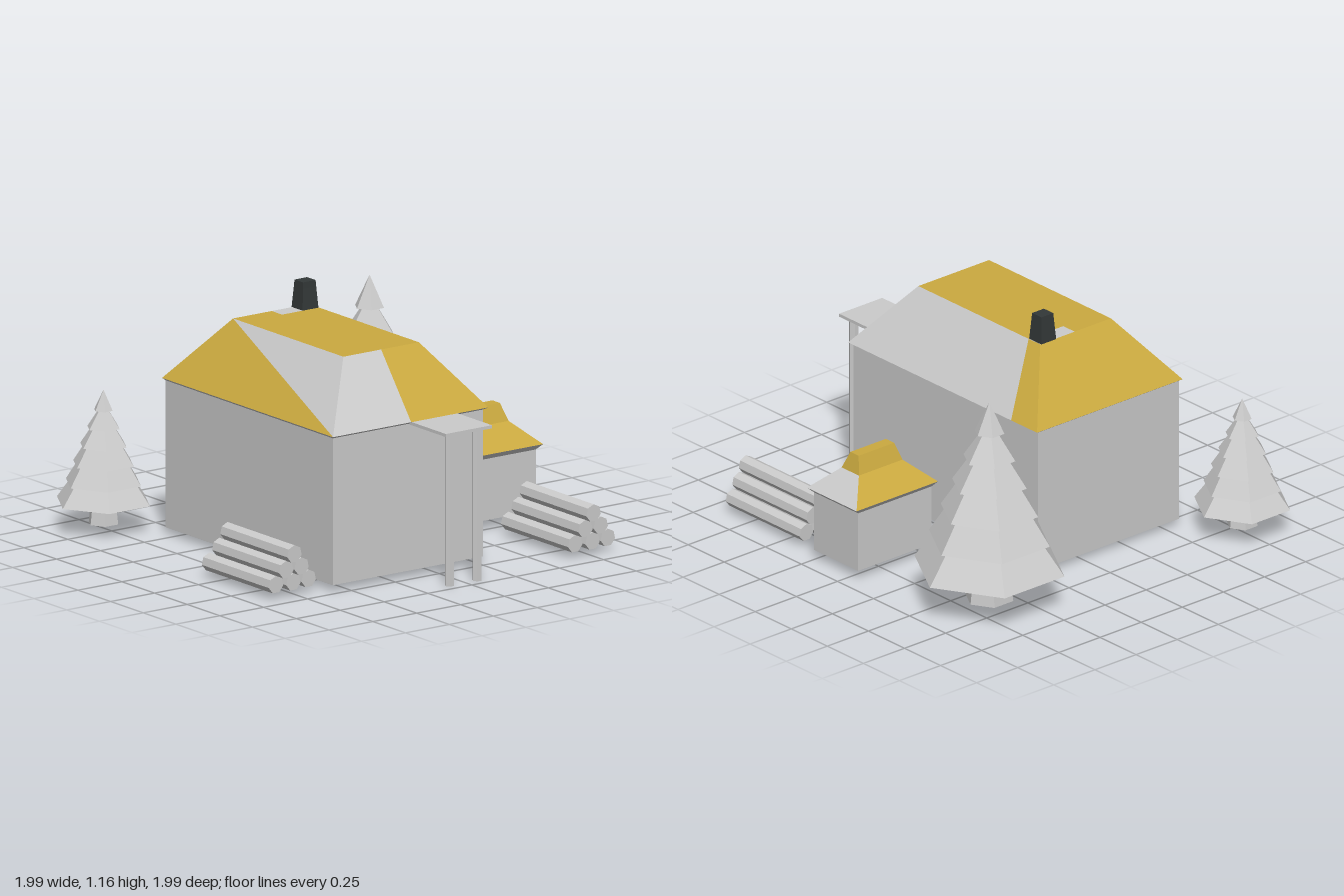
import * as THREE from 'three';

const paint = (color) => new THREE.MeshStandardMaterial({ color, flatShading: true });
const grey = paint(0xcccccc);
const gold = paint(0xcbaa40);
const dark = paint(0x333838);

function add(parent, name, geometry, material, x = 0, y = 0, z = 0) {
  const mesh = new THREE.Mesh(geometry, material);
  mesh.name = name;
  mesh.position.set(x, y, z);
  parent.add(mesh);
  return mesh;
}

function group(parent, name) {
  const g = new THREE.Group();
  g.name = name;
  parent.add(g);
  return g;
}

// Box given by its limits
function block(parent, name, material, x0, x1, y0, y1, z0, z1) {
  return add(parent, name, new THREE.BoxGeometry(x1 - x0, y1 - y0, z1 - z0), material,
    (x0 + x1) / 2, (y0 + y1) / 2, (z0 + z1) / 2);
}

// Convex polygons, corners counter-clockwise from outside
function panels(parent, name, polygons, material) {
  const positions = [];
  for (const p of polygons) {
    for (let i = 1; i < p.length - 1; i++) positions.push(...p[0], ...p[i], ...p[i + 1]);
  }
  const geometry = new THREE.BufferGeometry();
  geometry.setAttribute('position', new THREE.Float32BufferAttribute(positions, 3));
  geometry.computeVertexNormals();
  return add(parent, name, geometry, material);
}

// Rectangle corners: front left, front right, back right, back left
const ring = (x0, x1, z0, z1, y) => [[x0, y, z1], [x1, y, z1], [x1, y, z0], [x0, y, z0]];

// Four walls between two rings, in the order front, right, back, left
const walls = (a, b) => a.map((_, i) => {
  const j = (i + 1) % 4;
  return [a[i], a[j], b[j], b[i]];
});

function buildHouse(root) {
  const house = group(root, 'house');
  block(house, 'walls', grey, -0.565, 0.715, 0.03, 0.73, -0.275, 0.58);

  // Hipped roof with a flat top and partly painted slopes
  const wall = ring(-0.565, 0.715, -0.275, 0.58, 0.725);
  const eave = ring(-0.58, 0.73, -0.295, 0.59, 0.735);
  const top = ring(-0.345, 0.5, -0.07, 0.36, 1.03);
  const splitLow = [0.73, 0.735, 0.145];
  const splitHigh = [0.5, 1.03, 0.145];
  const backLow = [-0.4, 0.735, -0.295];
  const backHigh = [-0.265, 1.03, -0.07];
  panels(house, 'eaves', walls(wall, eave), grey);
  panels(house, 'paintedRoof', [
    [eave[0], eave[1], top[0]],
    [splitLow, eave[2], top[2], splitHigh],
    [backLow, eave[3], top[3], backHigh],
    [eave[3], eave[0], top[0], top[3]],
    ring(-0.265, 0.5, -0.07, 0.36, 1.03),
    ring(-0.345, -0.265, 0.14, 0.36, 1.03),
  ], gold);
  panels(house, 'plainRoof', [
    [eave[1], top[1], top[0]],
    [eave[1], splitLow, splitHigh, top[1]],
    [eave[2], backLow, backHigh, top[2]],
    ring(-0.345, -0.265, -0.07, 0.14, 1.03),
  ], grey);

  // Tapered chimney
  const foot = ring(-0.35, -0.265, -0.067, 0.023, 1.03);
  const neck = ring(-0.342, -0.273, -0.06, 0.016, 1.13);
  const rim = ring(-0.34, -0.275, -0.058, 0.014, 1.16);
  panels(house, 'chimney', [...walls(foot, neck), ...walls(neck, rim), rim], dark);

  // Side canopy on two posts
  block(house, 'canopy', grey, 0.7, 0.992, 0.72, 0.735, -0.12, 0.142);
  for (const z of [0.087, -0.07]) {
    add(house, 'canopyPost', new THREE.CylinderGeometry(0.023, 0.023, 0.72, 6), grey, 0.946, 0.36, z);
  }
}

function buildShed(root) {
  const shed = group(root, 'shed');
  block(shed, 'shedWalls', grey, -0.05, 0.255, 0.045, 0.336, -0.918, -0.472);
  const wall = ring(-0.05, 0.255, -0.918, -0.472, 0.335);
  const eave = ring(-0.07, 0.275, -0.945, -0.45, 0.36);
  const mid = ring(0.045, 0.165, -0.83, -0.565, 0.465);
  const top = ring(0.075, 0.132, -0.805, -0.59, 0.547);
  const [front, right, back, left] = walls(eave, mid);
  panels(shed, 'shedEaves', walls(wall, eave), grey);
  panels(shed, 'shedRoof', [front, right, left, ...walls(mid, top), top], gold);
  panels(shed, 'shedRoofBack', [back], grey);
}

// Six-sided fir with stacked tiers; full size stands 0.985 high
function buildTree(root, x, z, scale) {
  const tree = group(root, 'tree');
  const tiers = [[0.362, 0.16], [0.292, 0.3], [0.235, 0.44], [0.18, 0.575], [0.125, 0.705], [0.072, 0.835]];
  const profile = [new THREE.Vector2(0.07, 0.22)];
  tiers.forEach(([r, y], i) => {
    profile.push(new THREE.Vector2(r, y));
    const next = tiers[i + 1];
    profile.push(next ? new THREE.Vector2(next[0] - 0.04, next[1] + 0.012) : new THREE.Vector2(0, 0.985));
  });
  add(tree, 'foliage', new THREE.LatheGeometry(profile, 6), grey);
  add(tree, 'trunk', new THREE.CylinderGeometry(0.085, 0.115, 0.25, 6), grey, 0, 0.125, 0);
  tree.position.set(x, 0.03, z);
  tree.scale.setScalar(scale);
}

// Pyramid of six seven-sided logs
function buildLogPile(root, x, z) {
  const pile = group(root, 'logPile');
  const log = new THREE.CylinderGeometry(0.042, 0.042, 0.513, 7).rotateX(-Math.PI / 2)
    .rotateY(Math.PI / 2);
  for (let row = 0; row < 3; row++) {
    for (let i = 0; i < 3 - row; i++) {
      const shift = row * 0.008 + (i === 1 ? 0.008 : 0);
      const mesh = add(pile, 'log', new THREE.CylinderGeometry(0.042, 0.042, 0.513, 7), grey,
        shift, 0.067 + row * 0.067, (i - (2 - row) / 2) * 0.093);
      mesh.geometry.rotateX(-Math.PI / 2);
      // Lay the axis along x while keeping one edge of the log upward
      mesh.geometry.rotateY(Math.PI / 2);
    }
  }
  log.dispose();
  pile.position.set(x, 0, z);
}

export function createModel() {
  const root = new THREE.Group();
  root.name = 'homestead';
  buildHouse(root);
  buildShed(root);
  buildTree(root, -0.64, -0.637, 1);
  buildTree(root, -0.797, 0.762, 0.64);
  buildLogPile(root, 0.408, 0.773);
  buildLogPile(root, 0.642, -0.757);
  return root;
}
